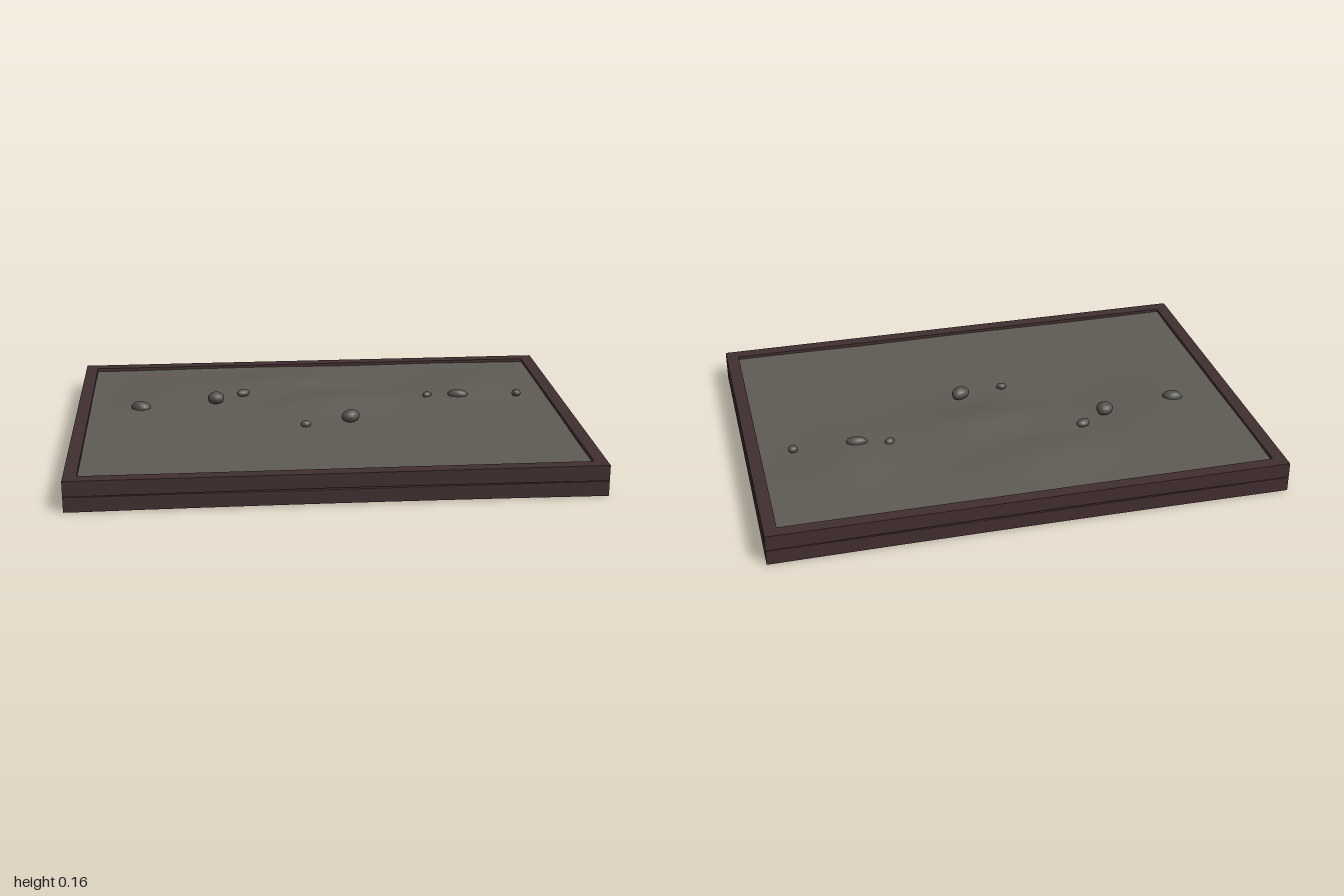
import * as THREE from 'three';

const wood = new THREE.MeshStandardMaterial({ color: 0x422f30 });
wood.name = 'darkWood';
const soilMat = new THREE.MeshStandardMaterial({ color: 0x5f5b54, side: THREE.DoubleSide });
soilMat.name = 'soil';
const stoneMat = new THREE.MeshStandardMaterial({ color: 0x53514c });
stoneMat.name = 'stone';

const HALF_X = 1, HALF_Z = 0.71, THICK = 0.05;

// Height of the soil: a nearly level bed with low mounds
const MOUNDS = [ // x, z, height, spread x, spread z
  [0.05, -0.12, 0.032, 0.24, 0.13],
  [-0.15, -0.42, 0.028, 0.26, 0.15],
  [-0.62, -0.25, 0.021, 0.17, 0.2],
  [0.62, -0.28, 0.021, 0.17, 0.2],
];
function soilHeight(x, z) {
  let y = 0.107 + 0.002 * Math.sin(x * 7 + z * 3) * Math.cos(z * 8);
  for (const [mx, mz, h, sx, sz] of MOUNDS) {
    y += h * Math.exp(-(((x - mx) / sx) ** 2) - ((z - mz) / sz) ** 2);
  }
  return y;
}

// Slightly worn board lying along x, thinner towards the middle
function boardGeometry(length, y0, y1) {
  const geo = new THREE.BoxGeometry(length, y1 - y0, THICK, 8, 1, 1);
  geo.translate(0, (y0 + y1) / 2, 0);
  const p = geo.attributes.position;
  const mid = (y0 + y1) / 2;
  for (let i = 0; i < p.count; i++) {
    const t = (2 * p.getX(i)) / length;
    if (p.getY(i) < mid) p.setY(i, p.getY(i) + 0.004 * (1 - t * t));
  }
  geo.computeVertexNormals();
  return geo;
}

// Rounded, lumpy pebble
function stone(x, z, rx, rz, top, turn, seed) {
  const geo = new THREE.SphereGeometry(1, 16, 10);
  const p = geo.attributes.position;
  const v = new THREE.Vector3();
  for (let i = 0; i < p.count; i++) {
    v.fromBufferAttribute(p, i);
    const k = 1 + 0.09 * Math.sin(2.3 * v.x + seed) + 0.07 * Math.cos(2.9 * v.z + v.y + seed * 2);
    p.setXYZ(i, v.x * k, v.y, v.z * k);
  }
  geo.computeVertexNormals();
  const mesh = new THREE.Mesh(geo, stoneMat);
  const ry = Math.min(rx, rz) * 0.85;
  mesh.scale.set(rx, ry, rz);
  mesh.position.set(x, top - ry, z);
  mesh.rotation.y = turn;
  mesh.name = 'stone';
  return mesh;
}

export function createModel() {
  const model = new THREE.Group();
  model.name = 'raisedBed';

  // Two courses of boards on every side
  const frame = new THREE.Group();
  frame.name = 'woodenFrame';
  for (const [course, y0, y1] of [['lower', 0, 0.058], ['upper', 0.06, 0.12]]) {
    for (const s of [1, -1]) {
      const long = new THREE.Mesh(boardGeometry(2 * (HALF_X - THICK), y0, y1), wood);
      long.position.z = s * (HALF_Z - THICK / 2);
      long.name = course + (s > 0 ? 'FrontBoard' : 'BackBoard');
      const short = new THREE.Mesh(boardGeometry(2 * HALF_Z, y0, y1), wood);
      short.rotation.y = Math.PI / 2;
      short.position.x = s * (HALF_X - THICK / 2);
      short.name = course + (s > 0 ? 'LeftBoard' : 'RightBoard');
      frame.add(long, short);
    }
  }
  model.add(frame);

  // Thin sheet of soil
  const soilGeo = new THREE.PlaneGeometry(2 * (HALF_X - THICK) + 0.01, 2 * (HALF_Z - THICK) + 0.01, 48, 36);
  soilGeo.rotateX(-Math.PI / 2);
  const p = soilGeo.attributes.position;
  for (let i = 0; i < p.count; i++) p.setY(i, soilHeight(p.getX(i), p.getZ(i)));
  soilGeo.computeVertexNormals();
  const soil = new THREE.Mesh(soilGeo, soilMat);
  soil.name = 'soilSurface';
  model.add(soil);

  // Scattered stones: x, z, radii, top height, turn
  const stones = new THREE.Group();
  stones.name = 'stones';
  [
    [-0.745, -0.11, 0.038, 0.029, 0.143, -0.3],
    [-0.435, -0.16, 0.037, 0.03, 0.16, 0.5],
    [-0.32, -0.24, 0.031, 0.018, 0.143, 0.4],
    [-0.082, 0.145, 0.02, 0.016, 0.13, 0],
    [0.103, 0.105, 0.038, 0.031, 0.158, 0.5],
    [0.448, -0.177, 0.02, 0.016, 0.133, 0.5],
    [0.573, -0.16, 0.039, 0.023, 0.145, -0.15],
    [0.823, -0.153, 0.02, 0.017, 0.14, 0.2],
  ].forEach((a, i) => stones.add(stone(...a, i)));
  model.add(stones);

  return model;
}
